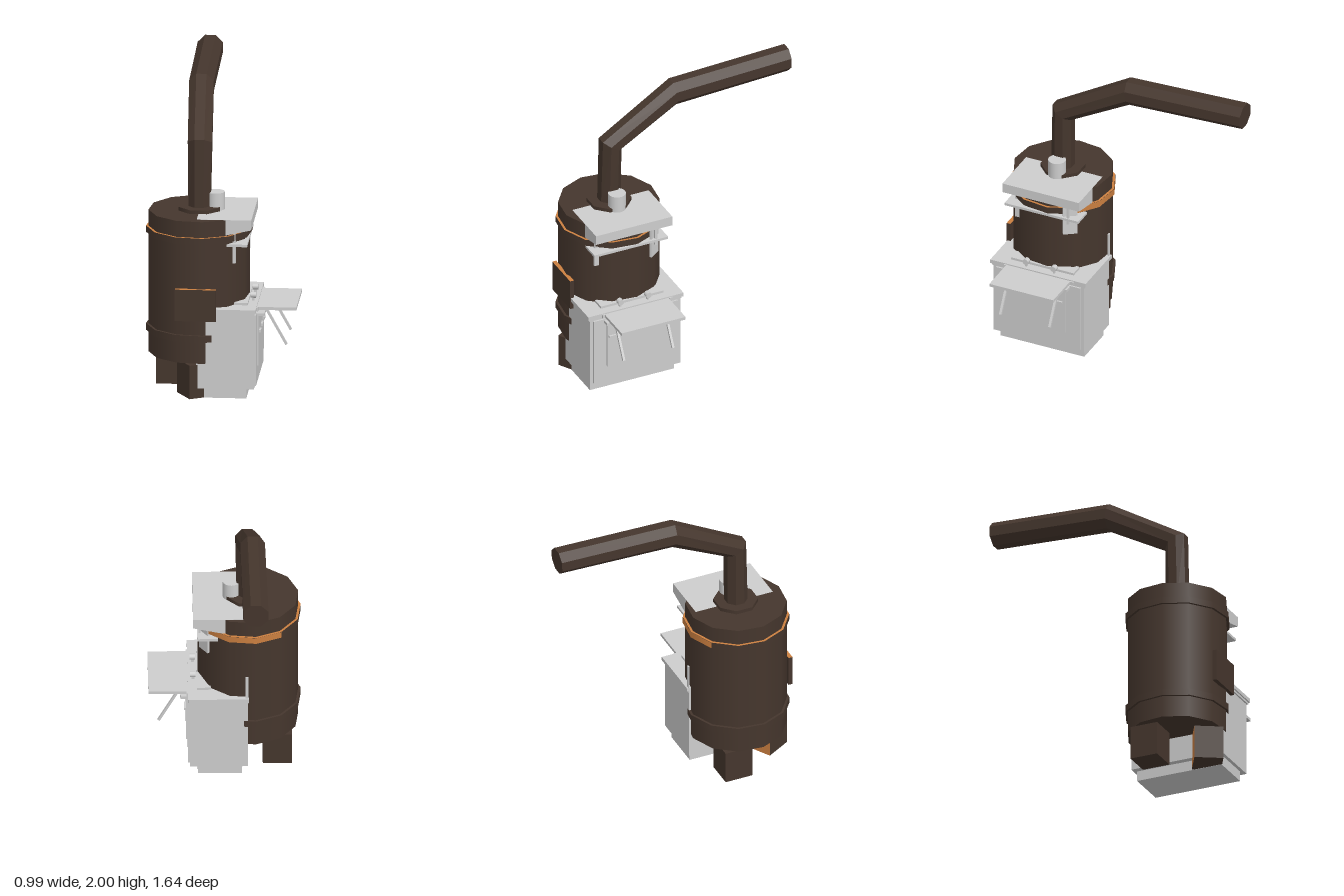
import * as THREE from 'three';

const DEG = Math.PI / 180;
const CX = -0.155, CZ = 0.475; // axis of the barrel

export function createModel() {
  const model = new THREE.Group();
  model.name = 'barrelStoveWithCabinet';

  const mat = (name, color, side = THREE.FrontSide) => {
    const m = new THREE.MeshStandardMaterial({ color, side });
    m.name = name;
    return m;
  };
  const iron = mat('darkBrownIron', 0x45362d);
  const enamel = mat('paleEnamel', 0xcdcdcd);
  const copper = mat('copperOrange', 0xcb7f40);

  const add = (name, geometry, material, parent = model) => {
    const mesh = new THREE.Mesh(geometry, material);
    mesh.name = name;
    parent.add(mesh);
    return mesh;
  };
  // box given by its limits on each axis
  const box = (name, [x0, x1], [y0, y1], [z0, z1], material = enamel) => {
    const mesh = add(name, new THREE.BoxGeometry(x1 - x0, y1 - y0, z1 - z0), material);
    mesh.position.set((x0 + x1) / 2, (y0 + y1) / 2, (z0 + z1) / 2);
    return mesh;
  };
  // upright cylinder given by its bottom and top
  const drum = (name, r, y0, y1, sides, turn, material, x = CX, z = CZ) => {
    const mesh = add(name, new THREE.CylinderGeometry(r, r, y1 - y0, sides), material);
    mesh.position.set(x, (y0 + y1) / 2, z);
    mesh.rotation.y = turn * DEG;
    return mesh;
  };

  // barrel and its two hoops
  drum('barrel', 0.33, 0.235, 1.19, 12, 8, iron);
  drum('lowerHoop', 0.346, 0.38, 0.425, 12, 8, iron);
  drum('upperHoop', 0.346, 1.04, 1.083, 12, 8, [iron, copper, iron]);
  const backBand = add('upperHoopBack',
    new THREE.CylinderGeometry(0.348, 0.348, 0.043, 3, 1, true, 128 * DEG, 90 * DEG), copper);
  backBand.position.set(CX, 1.0615, CZ);

  // three square legs around the barrel, each turned a little further
  for (const [i, angle] of [210, 90, 330].entries()) {
    const material = i === 1 ? [iron, iron, iron, iron, iron, copper] : iron;
    const leg = add('leg', new THREE.BoxGeometry(0.19, 0.225, 0.19), material);
    leg.position.set(CX + 0.217 * Math.cos(angle * DEG), 0.1135, CZ + 0.217 * Math.sin(angle * DEG));
    leg.rotation.y = i * 30 * DEG;
  }

  // fire door
  box('fireDoor', [-0.287, -0.02], [0.525, 0.737], [0.79, 0.818],
    [iron, iron, copper, iron, iron, iron]);

  // bent octagonal flue: rings of centre and tilted axis
  const rings = [
    { c: [-0.152, 1.2, 0.475], u: [0, 0, 0.072], w: 0.072 },
    { c: [-0.15, 1.628, 0.468], u: [0, 0.042, 0.067], w: 0.079 },
    { c: [-0.178, 1.885, 0.005], u: [0, 0.085, 0.01], w: 0.081 },
    { c: [-0.187, 1.914, -0.818], u: [0, 0.083, -0.003], w: 0.083 },
  ];
  const corner = ({ c, u, w }, k) => {
    const a = (k + 0.5) * 45 * DEG, f = 1.07;
    return [c[0] + Math.cos(a) * w * f, c[1] + Math.sin(a) * u[1] * f, c[2] + Math.sin(a) * u[2] * f];
  };
  const pos = [];
  for (let k = 0; k < 8; k++) {
    for (let i = 0; i < rings.length - 1; i++) {
      const a = corner(rings[i], k), b = corner(rings[i], k + 1);
      const d = corner(rings[i + 1], k), e = corner(rings[i + 1], k + 1);
      pos.push(...a, ...d, ...b, ...b, ...d, ...e);
    }
    const end = rings[rings.length - 1];
    pos.push(...end.c, ...corner(end, k + 1), ...corner(end, k));
  }
  const flue = new THREE.BufferGeometry();
  flue.setAttribute('position', new THREE.Float32BufferAttribute(pos, 3));
  flue.computeVertexNormals();
  add('flue', flue, iron);
  drum('flueFlange', 0.146, 1.185, 1.215, 8, 22.5, iron, -0.15);
  drum('whistle', 0.058, 1.185, 1.307, 24, 0, enamel, -0.047, 0.468);

  // sloped hood over the cabinet
  const hoodShape = new THREE.Shape([
    [-0.15, 1.045], [0.205, 1.125], [0.205, 1.191], [-0.15, 1.191],
  ].map(([x, y]) => new THREE.Vector2(x, y)));
  const hood = add('hood', new THREE.ExtrudeGeometry(hoodShape, { depth: 0.55, bevelEnabled: false }), enamel);
  hood.position.z = 0.19;

  // rack below the hood, with brackets on the barrel
  box('rack', [0.045, 0.178], [1.01, 1.027], [0.208, 0.738]);
  box('rackBracketFront', [0.08, 0.1], [0.89, 1.1], [0.668, 0.7]);
  const bracket = box('rackBracketBack', [0.125, 0.14], [0.89, 1.1], [0.24, 0.335]);
  bracket.rotation.y = 35 * DEG;
  box('rackHook', [0.155, 0.17], [0.98, 1.1], [0.28, 0.297]);

  // oven cabinet
  box('plinth', [-0.11, 0.175], [0, 0.075], [0.165, 0.77]);
  box('cabinet', [-0.15, 0.226], [0.068, 0.568], [0.142, 0.793]);
  box('counterLower', [-0.15, 0.23], [0.565, 0.582], [0.135, 0.803]);
  box('counter', [-0.155, 0.238], [0.58, 0.606], [0.125, 0.812]);
  box('backPost', [-0.152, -0.134], [0.565, 0.77], [0.136, 0.146]);

  // oven door with inner panel, ledge and three pulls
  box('ovenDoor', [0.22, 0.238], [0.085, 0.56], [0.165, 0.772]);
  box('ovenPanel', [0.23, 0.249], [0.2, 0.535], [0.265, 0.68]);
  box('ovenLedge', [0.22, 0.288], [0.537, 0.556], [0.238, 0.7]);
  for (const z of [0.32, 0.473, 0.635]) {
    box('doorPull', [0.24, 0.262], [0.418, 0.434], [z - 0.035, z + 0.035]);
  }

  // folding side table with two struts
  box('table', [0.225, 0.495], [0.578, 0.598], [0.235, 0.695]);
  for (const z of [0.293, 0.647]) {
    const strut = add('tableStrut', new THREE.BoxGeometry(0.016, 0.262, 0.016), enamel);
    strut.position.set(0.364, 0.452, z);
    strut.rotation.z = 29 * DEG;
  }
  for (const z of [0.22, 0.7]) box('tableHinge', [0.232, 0.248], [0.575, 0.6], [z - 0.012, z + 0.012]);

  // cooktop strip and its taps
  box('cooktop', [0.09, 0.178], [0.6, 0.622], [0.24, 0.692]);
  for (const z of [0.368, 0.567]) {
    box('tapStem', [0.195, 0.212], [0.6, 0.632], [z - 0.006, z + 0.006]);
    const knob = add('tapKnob', new THREE.CylinderGeometry(0.02, 0.02, 0.034, 12), enamel);
    knob.rotation.z = Math.PI / 2;
    knob.position.set(0.206, 0.643, z);
  }

  return model;
}
